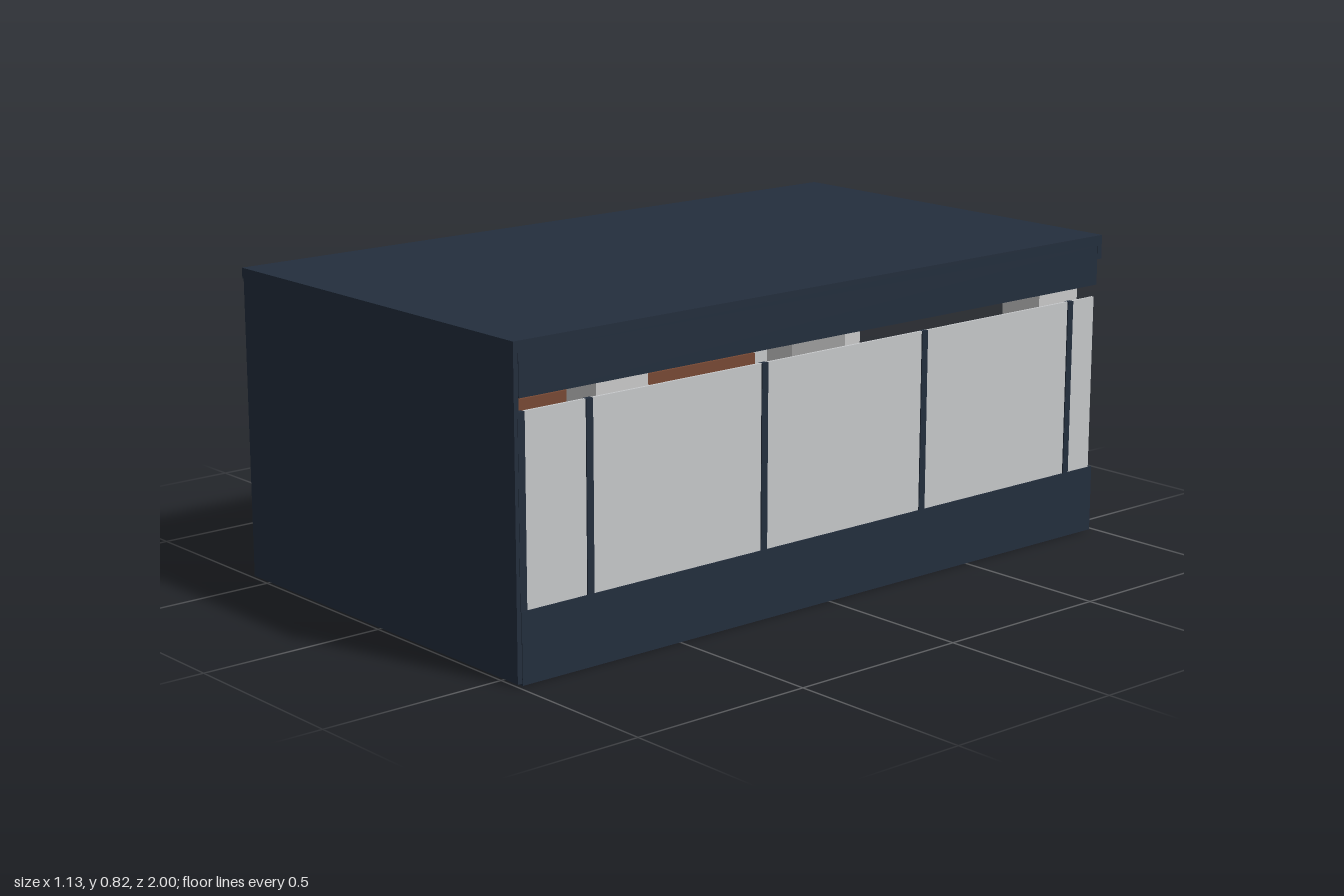
import * as THREE from 'three';

const mat = (name, color) => {
  const m = new THREE.MeshStandardMaterial({ color });
  m.name = name;
  return m;
};

export function createModel() {
  const root = new THREE.Group();
  root.name = 'loungePavilion';
  const navy = mat('navy', 0x232e3d);
  const glass = mat('paleGrey', 0xc6c8ca);
  const white = mat('columnGrey', 0xcacaca);
  const leather = mat('brownLeather', 0x774934);
  const tan = mat('tanRug', 0x95896f);

  // Box given by its minimum and maximum on each axis
  const box = (name, material, x0, x1, y0, y1, z0, z1, parent = root) => {
    const m = new THREE.Mesh(new THREE.BoxGeometry(x1 - x0, y1 - y0, z1 - z0), material);
    m.position.set((x0 + x1) / 2, (y0 + y1) / 2, (z0 + z1) / 2);
    m.name = name;
    parent.add(m);
    return m;
  };

  // Same box on the side s = 1 or -1
  const sideBox = (name, material, s, x0, x1, ...rest) =>
    box(name, material, s > 0 ? x0 : -x1, s > 0 ? x1 : -x0, ...rest);

  // Shell
  box('floor', navy, -0.55, 0.55, 0, 0.02, -0.99, 0.985);
  box('frontWall', navy, -0.562, 0.562, 0.005, 0.8, 0.985, 0.998);
  box('roof', navy, -0.565, 0.565, 0.797, 0.825, -1, 1);
  box('rearFascia', navy, -0.565, 0.565, 0.76, 0.797, -1, -0.985);
  box('rug', tan, -0.32, 0.32, 0.02, 0.026, -0.75, 0.62);

  for (const s of [1, -1]) {
    // Side walls: sill, glazing, posts and valance
    sideBox('sideSill', navy, s, 0.548, 0.564, 0, 0.18, -0.99, 0.985);
    sideBox('sideValance', navy, s, 0.548, 0.564, 0.69, 0.797, -0.985, 0.985);
    sideBox('sidePanel', glass, s, 0.553, 0.56, 0.18, 0.657, -0.98, 0.985);
    for (const z of [0.978, 0.777, 0.225, -0.33, -0.885]) {
      sideBox('sidePost', navy, s, 0.549, 0.563, 0.18, 0.657, z - 0.01, z + 0.01);
    }

    // Side benches
    sideBox('benchBase', leather, s, 0.33, 0.545, 0.02, 0.175, -0.67, 0.98);
    sideBox('benchCushion', leather, s, 0.315, 0.545, 0.185, 0.25, -0.68, 0.98);
    sideBox('benchSeam', leather, s, 0.34, 0.545, 0.175, 0.185, -0.66, 0.98);
    sideBox('benchBack', leather, s, 0.46, 0.545, 0.25, 0.37, -0.67, 0.98);
  }

  // Bench across the front wall
  box('frontBenchBase', leather, -0.33, 0.33, 0.02, 0.18, 0.72, 0.98);
  box('frontBenchCushion', leather, -0.315, 0.315, 0.18, 0.25, 0.7, 0.98);
  box('frontBenchBack', leather, -0.46, 0.46, 0.25, 0.37, 0.89, 0.98);

  // Upright columns, extruded from plan outlines of [x, z] points
  const column = (name, points, y0, y1) => {
    const shape = new THREE.Shape(points.map(([x, z]) => new THREE.Vector2(x, -z)));
    const g = new THREE.ExtrudeGeometry(shape, { depth: y1 - y0, bevelEnabled: false });
    g.rotateX(-Math.PI / 2);
    const m = new THREE.Mesh(g, white);
    m.position.y = y0;
    m.name = name;
    root.add(m);
  };
  column('rearLeftColumn', [[0.535, -0.94], [0.385, -0.91], [0.32, -0.94],
    [0.32, -0.88], [0.43, -0.79], [0.535, -0.79]], 0.02, 0.797);
  column('rearRightColumn', [[-0.54, -0.94], [-0.3, -0.94], [-0.3, -0.88],
    [-0.43, -0.79], [-0.54, -0.79]], 0.02, 0.797);
  column('innerColumn', [[0.43, 0.58], [0.54, 0.58], [0.54, 0.74], [0.43, 0.74]], 0.02, 0.797);

  return root;
}
